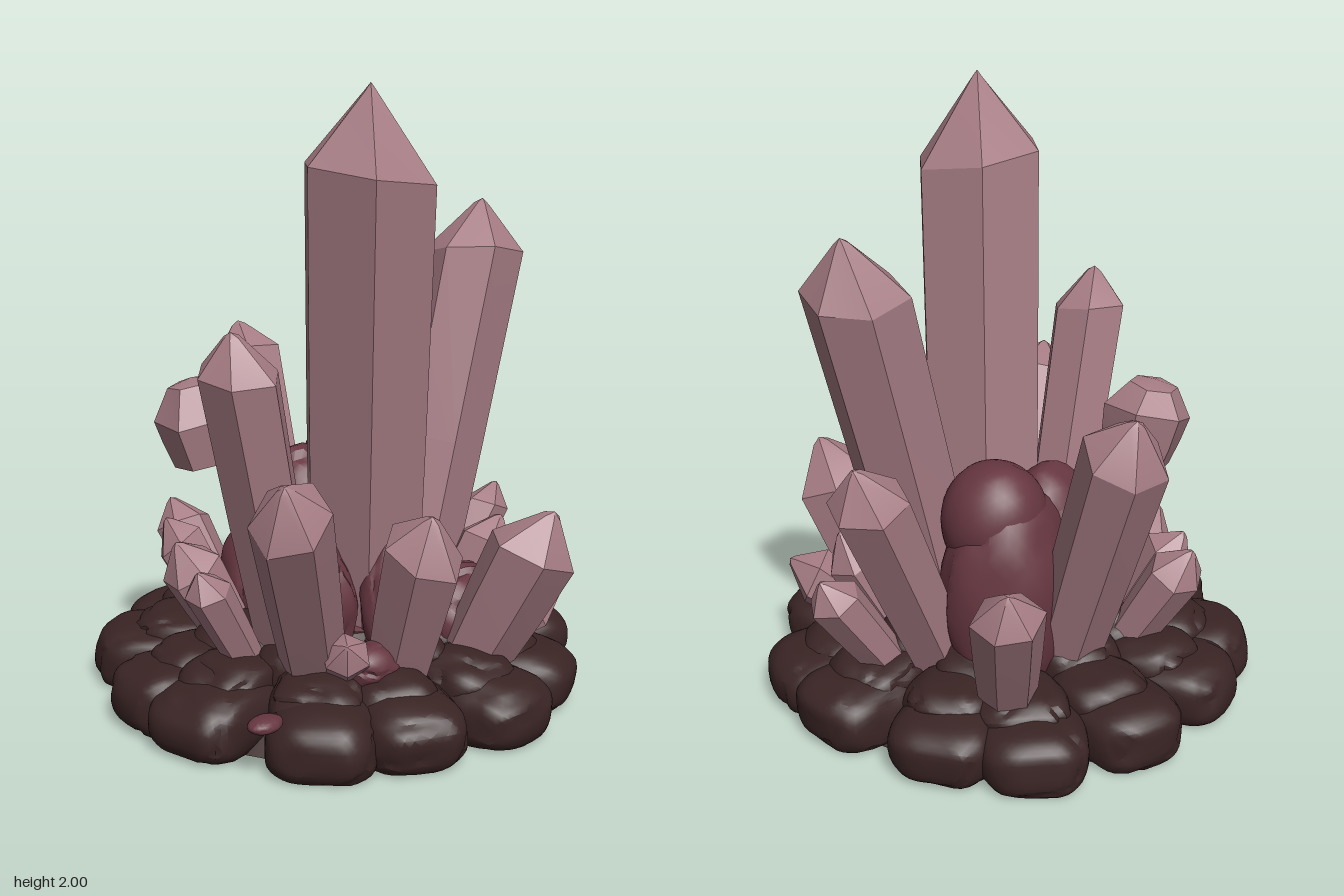
import * as THREE from 'three';
import { mergeVertices, toCreasedNormals } from 'three/addons/utils/BufferGeometryUtils.js';

const material = (name, color) => {
  const m = new THREE.MeshStandardMaterial({ color });
  m.name = name;
  return m;
};
const crystalMat = material('dusty rose crystal', 0xa67c84);
const coreMat = material('dark red core', 0x663640);
const rockMat = material('dark brown rock', 0x3a2424);

// Smooth position-based noise, so shared corners stay together
const noise = (x, y, z, s) =>
  Math.sin(x * 3.1 + s * 1.7) * Math.cos(y * 3.7 + s * 2.3) * 0.6 +
  Math.sin(z * 4.3 + x * 2.1 + s) * 0.4;

// Moves every vertex by a rule, then rebuilds normals with sharp edges kept
function reshape(geo, rule, angle) {
  geo.deleteAttribute('normal');
  geo.deleteAttribute('uv');
  const p = geo.attributes.position;
  for (let i = 0; i < p.count; i++) p.setXYZ(i, ...rule(p.getX(i), p.getY(i), p.getZ(i)));
  return toCreasedNormals(mergeVertices(geo, 1e-4), angle);
}

// Six-sided crystal from base point to tip point, slightly irregular
function crystal(name, base, tip, radius, seed, cap = 1.05, blunt = 0.2) {
  const dir = tip.clone().sub(base), len = dir.length();
  const neck = len - radius * cap;
  const foot = radius * (0.76 + 0.08 * len);
  const profile = [
    new THREE.Vector2(0, 0),
    new THREE.Vector2(foot, 0),
    new THREE.Vector2(foot * 0.4 + radius * 0.6, neck / 2),
    new THREE.Vector2(radius, neck),
    new THREE.Vector2(radius * blunt, len - radius * 0.12),
    new THREE.Vector2(0, len),
  ];
  const geo = reshape(new THREE.LatheGeometry(profile, 6, 0.78 + seed * 0.3), (x, y, z) => {
    const t = Math.atan2(z, x);
    const k = 1 + 0.05 * Math.sin(2 * t + seed * 2.4);
    const lift = Math.abs(y - neck) < 0.001 ? radius * 0.2 * Math.sin(t + seed * 1.9) : 0;
    return [x * k, y + lift, z * k];
  }, 0.45);
  const mesh = new THREE.Mesh(geo, crystalMat);
  mesh.name = name;
  mesh.position.copy(base);
  mesh.quaternion.setFromUnitVectors(new THREE.Vector3(0, 1, 0), dir.normalize());
  return mesh;
}

// Lumpy ellipsoid; box below 1 squares it off, and it is cut flat at the ground
function lump(name, pos, size, yaw, box, rough, seed, mat) {
  const sq = v => Math.sign(v) * Math.pow(Math.abs(v), box);
  const geo = reshape(new THREE.IcosahedronGeometry(1, 7), (x, y, z) => {
    const crack = Math.pow(1 - Math.abs(Math.sin(x * 2.6 + z * 2.1 + y * 1.7 + noise(z, x, y, seed) + seed * 3)), 4);
    const k = 1 + rough * (noise(x, y, z, seed) + 0.4 * noise(x * 2.3, y * 2.3, z * 2.3, seed + 5) - crack);
    return [sq(x) * size[0] * k, Math.max(sq(y) * size[1] * k, -pos[1]), sq(z) * size[2] * k];
  }, 0.45);
  const mesh = new THREE.Mesh(geo, mat);
  mesh.name = name;
  mesh.position.set(...pos);
  mesh.rotation.y = yaw;
  return mesh;
}

// Rocky base: a low mound, a ring of boulders and two inner rings of stones
function rockBase() {
  const group = new THREE.Group();
  group.name = 'rockBase';
  const mound = new THREE.CylinderGeometry(0.32, 0.66, 0.28, 28);
  mound.translate(0, 0.14, 0);
  const moundMesh = new THREE.Mesh(toCreasedNormals(mound, 0.6), rockMat);
  moundMesh.name = 'mound';
  group.add(moundMesh);
  const ring = (name, count, radius, y, size, start, box, rough, seed) => {
    for (let i = 0; i < count; i++) {
      const t = start + (i / count) * Math.PI * 2 + 0.06 * Math.sin(i * 2.7);
      const r = radius * (1 + 0.025 * Math.sin(i * 4.1));
      group.add(lump(name, [Math.cos(t) * r, y, Math.sin(t) * r], size, -t, box, rough, seed + i, rockMat));
    }
  };
  ring('boulder', 13, 0.615, 0.085, [0.2, 0.115, 0.175], 0, 0.7, 0.05, 0);
  ring('ridgeStone', 13, 0.53, 0.15, [0.16, 0.095, 0.15], 0.03, 0.8, 0.08, 20);
  ring('innerStone', 8, 0.34, 0.18, [0.18, 0.115, 0.16], 0.3, 0.8, 0.08, 40);
  return group;
}

// Dark red core and its outcrops: position, size
function redCore() {
  const group = new THREE.Group();
  group.name = 'core';
  const add = (name, pos, size, rough) =>
    group.add(lump(name, pos, size, 0, 1, rough, 60 + group.children.length, coreMat));
  add('coreDome', [-0.135, 0.67, -0.22], [0.175, 0.2, 0.175], 0.02);
  add('coreBody', [-0.18, 0.42, -0.2], [0.205, 0.38, 0.24], 0.06);
  add('coreShoulder', [-0.17, 0.45, 0.0], [0.175, 0.35, 0.2], 0.07);
  add('coreFoot', [-0.19, 0.33, 0.13], [0.17, 0.24, 0.17], 0.09);
  add('frontOutcrop', [0.16, 0.34, 0.24], [0.09, 0.22, 0.1], 0.13);
  add('leftSpur', [0.3, 0.36, 0.12], [0.08, 0.2, 0.08], 0.1);
  add('leftOutcrop', [0.36, 0.28, -0.2], [0.13, 0.15, 0.16], 0.13);
  add('leftFoot', [0.4, 0.25, 0.28], [0.08, 0.07, 0.12], 0.1);
  add('skirt', [0.0, 0.22, -0.03], [0.39, 0.11, 0.38], 0.06);
  add('rimSpot', [0.34, 0.18, 0.71], [0.045, 0.025, 0.06], 0.02);
  return group;
}

// Crystals fan outwards, so each root follows from where its tip is
function crystalFan() {
  const group = new THREE.Group();
  group.name = 'crystals';
  const v = (x, y, z) => new THREE.Vector3(x, y, z);
  const fan = (name, x, y, z, radius) => {
    const pull = y > 0.8 ? 0.49 : 0.67;
    group.add(crystal(name, v(x * pull, 0.19, z * pull), v(x, y, z), radius, group.children.length));
  };
  group.add(crystal('mainCrystal', v(0.1, 0.18, -0.01), v(0.295, 2, 0.19), 0.225, 0, 1.2, 0.1));
  group.add(crystal('backTallCrystal', v(0.12, 0.18, -0.19), v(0.17, 1.61, -0.56), 0.163, 1, 1.15, 0.15));
  group.add(crystal('looseCrystal', v(-0.32, 0.77, 0.28), v(-0.36, 1.05, 0.32), 0.15, 2, 0.75, 0.55));
  fan('frontTallCrystal', 0.1, 1.29, 0.59, 0.132);
  fan('rightTallCrystal', -0.66, 1.14, -0.2, 0.135);
  fan('frontLeftCrystal', 0.425, 0.91, 0.71, 0.13);
  fan('leftFrontCrystal', 0.59, 0.75, 0.25, 0.13);
  fan('leftCrystal', 0.745, 0.7, -0.17, 0.148);
  fan('backCrystal', -0.03, 0.98, -0.73, 0.13);
  fan('backRightCrystal', -0.53, 0.7, -0.62, 0.11);
  fan('rightSmallCrystal', -0.62, 0.56, 0.19, 0.095);
  fan('rightSmallCrystal', -0.5, 0.54, 0.32, 0.092);
  fan('frontSmallCrystal', -0.3, 0.53, 0.46, 0.1);
  fan('frontSmallCrystal', 0.015, 0.55, 0.66, 0.075);
  fan('frontStubCrystal', 0.43, 0.36, 0.45, 0.075);
  fan('leftStubCrystal', 0.42, 0.47, 0.04, 0.085);
  fan('backLeftCrystal', 0.61, 0.37, -0.45, 0.105);
  fan('backLeftCrystal', 0.36, 0.55, -0.44, 0.1);
  fan('backSmallCrystal', 0.13, 0.56, -0.74, 0.085);
  return group;
}

export function createModel() {
  const model = new THREE.Group();
  model.name = 'crystalCluster';
  model.add(rockBase(), redCore(), crystalFan());
  return model;
}
